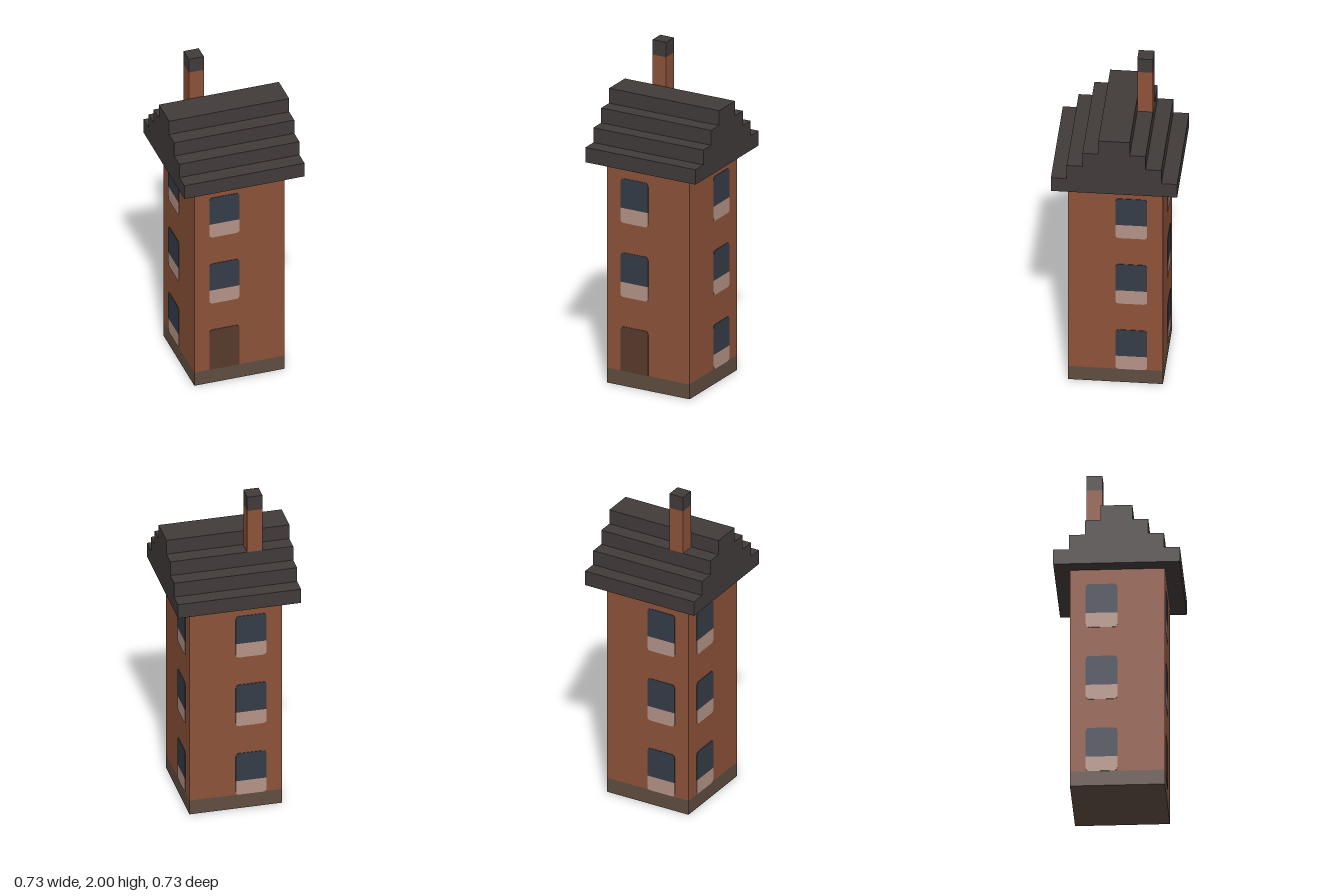
import * as THREE from 'three';

const U = 1 / 11; // building block size
const EPS = 0.003; // thickness of painted plates

const mat = (name, color) => {
  const m = new THREE.MeshStandardMaterial({ color });
  m.name = name;
  return m;
};

// Rectangle outline with separate radii for its top and bottom corners
function panelShape(w, y0, y1, rTop, rBottom) {
  const h = w / 2;
  const s = new THREE.Shape();
  s.moveTo(-h + rBottom, y0);
  s.lineTo(h - rBottom, y0);
  if (rBottom) s.quadraticCurveTo(h, y0, h, y0 + rBottom);
  s.lineTo(h, y1 - rTop);
  if (rTop) s.quadraticCurveTo(h, y1, h - rTop, y1);
  s.lineTo(-h + rTop, y1);
  if (rTop) s.quadraticCurveTo(-h, y1, -h, y1 - rTop);
  s.lineTo(-h, y0 + rBottom);
  if (rBottom) s.quadraticCurveTo(-h, y0, -h + rBottom, y0);
  return s;
}

export function createModel() {
  const brick = mat('brick', 0x8c5239);
  const stone = mat('stone', 0x5f4d40);
  const slate = mat('slate', 0x413b3a);
  const wood = mat('door wood', 0x583a2d);
  const glass = mat('window glass', 0x353c48);
  const blind = mat('pale sill', 0xb49387);

  const model = new THREE.Group();
  model.name = 'towerHouse';

  const add = (parent, name, geometry, material) => {
    const mesh = new THREE.Mesh(geometry, material);
    mesh.name = name;
    parent.add(mesh);
    return mesh;
  };
  // Box given in blocks: size, centre x and z, bottom y
  const block = (name, w, h, d, x, y, z, material) =>
    add(model, name, new THREE.BoxGeometry(w * U, h * U, d * U), material)
      .position.set(x * U, (y + h / 2) * U, z * U);

  // Plinth and walls
  block('plinth', 6, 1, 6, 0, 0, 0, stone);
  block('walls', 6, 14, 6, 0, 1, 0, brick);

  // Stepped gable roof, extruded along x
  const steps = new THREE.Shape();
  steps.moveTo(-4 * U, 0);
  steps.lineTo(4 * U, 0);
  for (let i = 0; i < 4; i++) {
    steps.lineTo((4 - i) * U, (i + 1) * U);
    steps.lineTo((i < 3 ? 3 - i : -1) * U, (i + 1) * U);
  }
  for (let i = 3; i > 0; i--) {
    steps.lineTo((i - 4) * U, i * U);
    steps.lineTo((i - 5) * U, i * U);
  }
  const roofGeo = new THREE.ExtrudeGeometry(steps, { depth: 8 * U, bevelEnabled: false });
  roofGeo.translate(0, 0, -4 * U).rotateY(Math.PI / 2);
  add(model, 'roof', roofGeo, slate).position.y = 15 * U;

  // Chimney
  block('chimney', 1, 3, 1, -1.5, 18, -1.5, brick);
  block('chimneyCap', 1, 1, 1, -1.5, 21, -1.5, slate);

  // Windows and door as thin plates, one column on each wall
  const plate = (shape) =>
    new THREE.ExtrudeGeometry(shape, { depth: EPS, bevelEnabled: false, curveSegments: 4 });
  const r = 0.022;
  const paneGeo = plate(panelShape(2 * U, U, 3 * U, r, 0));
  const sillGeo = plate(panelShape(2 * U, 0, U, 0, r));
  const doorGeo = plate(panelShape(2 * U, 0, 3 * U, r, 0));

  const sides = [
    { name: 'front', angle: 0, x: -1, z: 3 },
    { name: 'left', angle: Math.PI / 2, x: 3, z: -1 },
    { name: 'back', angle: Math.PI, x: -1, z: -3 },
    { name: 'right', angle: -Math.PI / 2, x: -3, z: -1 },
  ];
  for (const side of sides) {
    [1, 6, 11].forEach((y, floor) => {
      const opening = new THREE.Group();
      opening.position.set(side.x * U, y * U, side.z * U);
      opening.rotation.y = side.angle;
      if (side.name === 'front' && floor === 0) {
        opening.name = 'frontDoor';
        add(opening, 'doorPanel', doorGeo, wood);
      } else {
        opening.name = `${side.name}Window${floor + 1}`;
        add(opening, 'windowPane', paneGeo, glass);
        add(opening, 'windowSill', sillGeo, blind);
      }
      model.add(opening);
    });
  }
  return model;
}
